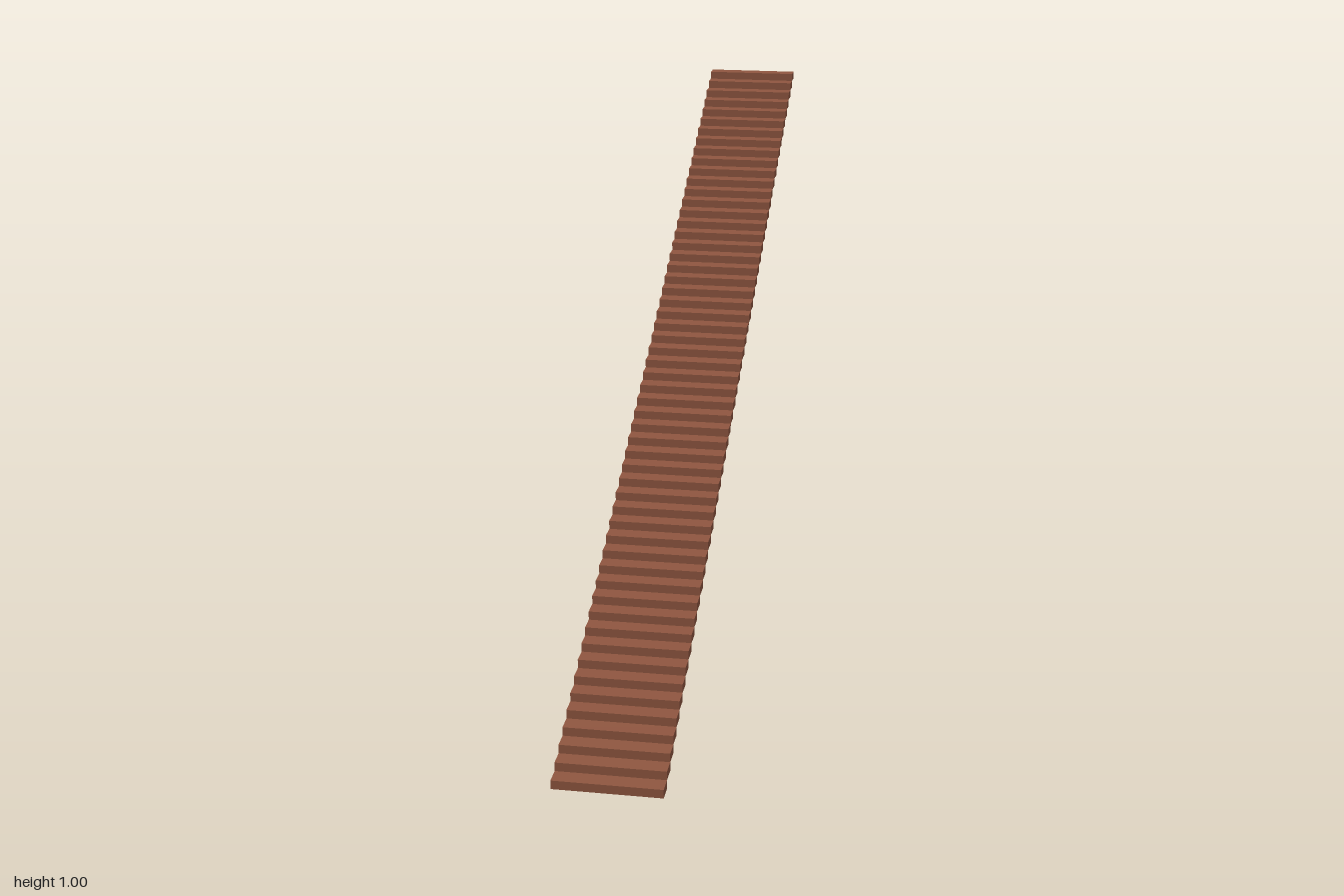
import * as THREE from 'three';

// A long straight flight of slab steps climbing toward the back
export function createModel() {
  const group = new THREE.Group();
  group.name = 'staircase';

  const brick = new THREE.MeshStandardMaterial({ color: 0x8f5640 });
  brick.name = 'brick brown';

  const count = 56;
  const depth = 2 / count;
  const rise = 1 / count;
  const width = depth * 6;
  const slab = new THREE.BoxGeometry(width, rise, depth);

  // Each slab begins where the one below it ends
  for (let i = 0; i < count; i++) {
    const step = new THREE.Mesh(slab, brick);
    step.name = `step${i + 1}`;
    step.position.set(0, (i + 0.5) * rise, 1 - (i + 0.5) * depth);
    group.add(step);
  }
  return group;
}
